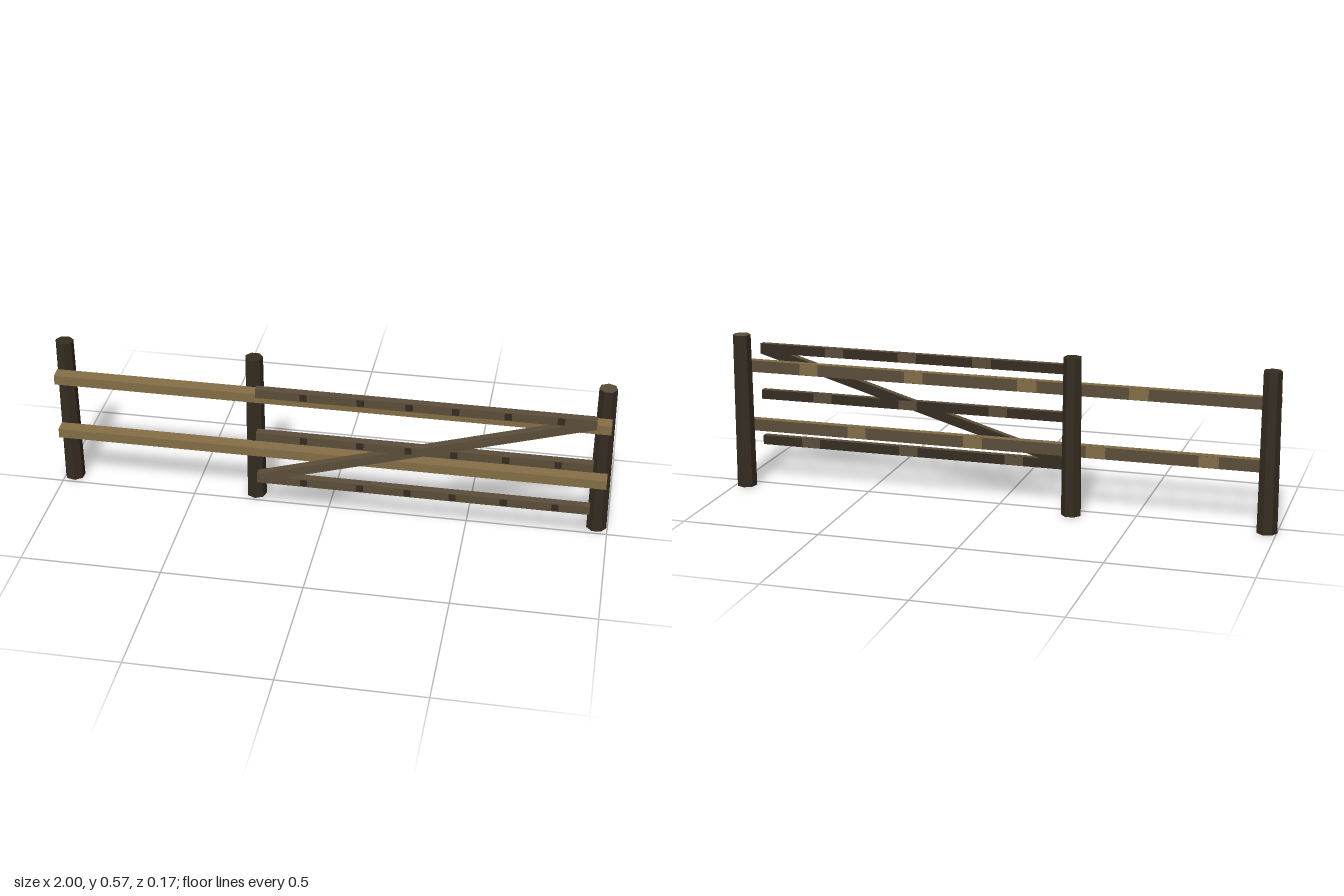
import * as THREE from 'three';

export function createModel() {
  const group = new THREE.Group();
  const material = (name, color) => {
    const m = new THREE.MeshStandardMaterial({ color, flatShading: true });
    m.name = name;
    return m;
  };
  const tan = material('tan wood', 0x836d46);
  const brown = material('brown wood', 0x5b4d39);
  const dark = material('dark wood', 0x352c20);

  const add = (parent, name, geometry, mat, x, y, z) => {
    const mesh = new THREE.Mesh(geometry, mat);
    mesh.name = name;
    mesh.position.set(x, y, z);
    parent.add(mesh);
    return mesh;
  };

  // Beam with a slightly narrower front; back and underside are weathered darker
  function beam(name, length, hFront, hBack, depth, main, shade, x, y, z, backSpots, frontSpots) {
    const part = new THREE.Group();
    part.name = name;
    part.position.set(x, y, z);
    group.add(part);
    const g = new THREE.BoxGeometry(length, 1, depth);
    const p = g.attributes.position;
    for (let i = 0; i < p.count; i++) p.setY(i, p.getY(i) * (p.getZ(i) > 0 ? hFront : hBack));
    g.computeVertexNormals();
    add(part, name + 'Beam', g, [main, main, main, shade, main, shade], 0, 0, 0);
    // Thin worn patches
    for (const s of backSpots) {
      add(part, 'wornPatch', new THREE.BoxGeometry(0.07, hBack * 0.96, 0.002), main, s, 0, -depth / 2);
    }
    for (const s of frontSpots) {
      add(part, 'darkPatch', new THREE.BoxGeometry(0.025, hFront * 0.8, 0.002), shade, s, 0, depth / 2);
    }
    return part;
  }

  // Seven-sided tapered posts, the last with a pale cut top
  [[-0.966, 0.2, dark], [-0.276, 0, dark], [0.961, 0.5, brown]].forEach(([x, turn, cap]) => {
    const post = add(group, 'post', new THREE.CylinderGeometry(0.0325, 0.0365, 0.57, 7),
      [dark, cap, dark], x, 0.285, -0.046);
    post.rotation.y = turn;
  });

  // Long fence rails
  beam('upperRail', 1.975, 0.035, 0.043, 0.043, tan, brown, -0.003, 0.4455, 0.0065, [0.72, 0.32, -0.1, -0.5], []);
  beam('lowerRail', 1.975, 0.035, 0.043, 0.043, tan, brown, -0.003, 0.2235, 0.0065, [0.54, 0.1, -0.35, -0.75], []);

  // Gate bars
  const worn = [-0.42, -0.22, -0.05, 0.11, 0.29, 0.47];
  [['lowerGateBar', 0.1475], ['middleGateBar', 0.3225], ['upperGateBar', 0.4975]].forEach(([name, y], i) => {
    beam(name, 1.18, 0.032, 0.035, 0.028, brown, dark, 0.344, y, 0.069,
      [-0.38 + i * 0.06, 0.02, 0.4 - i * 0.05], worn);
  });

  // Diagonal brace, sheared so that its ends stay upright
  const slope = 0.345 / 1.18;
  const brace = beam('diagonalBrace', 1.18, 0.034, 0.036, 0.0276, brown, dark, 0.344, 0.3225, 0.069,
    [], []);
  const g = brace.children[0].geometry;
  const p = g.attributes.position;
  for (let i = 0; i < p.count; i++) p.setY(i, p.getY(i) + p.getX(i) * slope);
  g.computeVertexNormals();

  return group;
}
